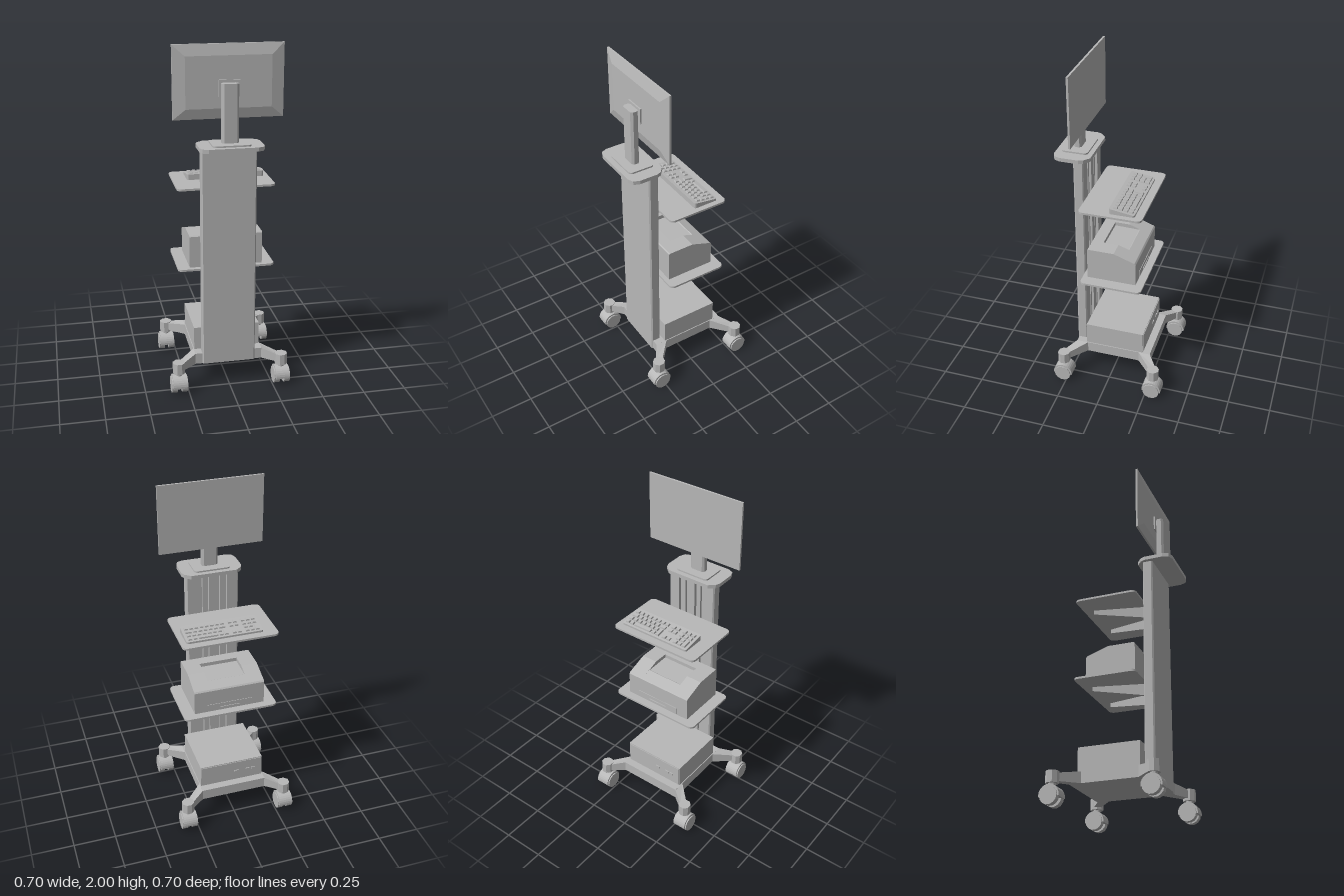
import * as THREE from 'three';

const grey = new THREE.MeshStandardMaterial({ color: 0xb8b8b8 });
grey.name = 'light grey';
grey.flatShading = true;

export function createModel() {
  const model = new THREE.Group();

  function add(name, geo, parent = model, pos = [0, 0, 0]) {
    const mesh = new THREE.Mesh(geo, grey);
    mesh.name = name;
    mesh.position.set(...pos);
    parent.add(mesh);
    return mesh;
  }
  function group(name, parent = model) {
    const g = new THREE.Group();
    g.name = name;
    parent.add(g);
    return g;
  }
  const box = (name, x0, x1, y0, y1, z0, z1, parent) =>
    add(name, new THREE.BoxGeometry(x1 - x0, y1 - y0, z1 - z0), parent,
      [(x0 + x1) / 2, (y0 + y1) / 2, (z0 + z1) / 2]);
  const shapeOf = pts => new THREE.Shape(pts.map(p => new THREE.Vector2(p[0], p[1])));

  // plan outline in x,z extruded downwards from a top height
  function slab(shape, top, height) {
    return new THREE.ExtrudeGeometry(shape, { depth: height, bevelEnabled: false, curveSegments: 4 })
      .rotateX(Math.PI / 2).translate(0, top, 0);
  }
  // side outline in z,y extruded across x
  function sideways(pts, x0, x1) {
    return new THREE.ExtrudeGeometry(shapeOf(pts), { depth: x1 - x0, bevelEnabled: false })
      .rotateY(-Math.PI / 2).translate(x1, 0, 0);
  }
  function roundRect(x0, x1, z0, z1, r) {
    const s = new THREE.Shape();
    s.absarc(x1 - r, z1 - r, r, 0, Math.PI / 2);
    s.absarc(x0 + r, z1 - r, r, Math.PI / 2, Math.PI);
    s.absarc(x0 + r, z0 + r, r, Math.PI, Math.PI * 1.5);
    s.absarc(x1 - r, z0 + r, r, Math.PI * 1.5, Math.PI * 2);
    return s;
  }
  // solid between two four-cornered sections, turned outwards whatever the corner order
  function hexa(a, b) {
    const p = [...a, ...b].map(c => new THREE.Vector3(...c));
    const quads = [[3, 2, 1, 0], [4, 5, 6, 7]];
    for (let i = 0; i < 4; i++) { const j = (i + 1) % 4; quads.push([i, j, j + 4, i + 4]); }
    const tris = quads.flatMap(q => [[q[0], q[1], q[2]], [q[0], q[2], q[3]]]);
    const centre = p.reduce((s, v) => s.add(v), new THREE.Vector3()).divideScalar(8);
    const rel = p.map(v => v.clone().sub(centre));
    const volume = tris.reduce((s, t) => s + rel[t[0]].dot(rel[t[1]].clone().cross(rel[t[2]])), 0);
    const geo = new THREE.BufferGeometry().setFromPoints(
      tris.flatMap(t => (volume < 0 ? [t[0], t[2], t[1]] : t).map(i => p[i])));
    geo.computeVertexNormals();
    return geo;
  }
  const rectZ = (w, y0, y1, z) => [[-w, y0, z], [w, y0, z], [w, y1, z], [-w, y1, z]];
  const rectY = (w, d, y) => [[-w, y, -d], [w, y, -d], [w, y, d], [-w, y, d]];

  // base tray, with four sloping legs on twin-wheel casters
  const base = group('base');
  box('baseBody', -0.2, 0.2, 0.14, 0.205, -0.243, 0.222, base);
  for (const sx of [-1, 1]) for (const sz of [-1, 1]) {
    const edge = sz < 0 ? 0.243 : 0.222, hubZ = sz < 0 ? -0.291 : 0.272, hubX = sx * 0.305;
    const ring = (x1, z1, x2, z2, y0, y1) =>
      [[sx * x1, y0, sz * z1], [sx * x2, y0, sz * z2], [sx * x2, y1, sz * z2], [sx * x1, y1, sz * z1]];
    add('leg', hexa(ring(0.198, edge, 0.2, edge - 0.07, 0.14, 0.205),
      ring(0.282, edge + 0.06, 0.302, edge + 0.025, 0.135, 0.18)), base);
    const caster = group('caster', base);
    caster.position.set(hubX, 0, hubZ);
    add('casterHub', new THREE.CylinderGeometry(0.037, 0.037, 0.066, 8).rotateY(Math.PI / 8), caster, [0, 0.155, 0]);
    add('casterStem', new THREE.CylinderGeometry(0.022, 0.022, 0.04, 8), caster, [0, 0.112, 0]);
    const hood = new THREE.Shape();
    hood.absarc(0, 0.053, 0.058, -0.15, Math.PI + 0.15);
    const hoodGeo = new THREE.ExtrudeGeometry(hood, { depth: 0.08, bevelEnabled: false, curveSegments: 8 });
    add('casterHood', hoodGeo.rotateY(-Math.PI / 2).translate(0.04, 0, 0), caster);
    for (const s of [-1, 1])
      add('casterWheel', new THREE.CylinderGeometry(0.05, 0.05, 0.034, 14).rotateZ(Math.PI / 2),
        caster, [s * 0.03, 0.05, 0]);
  }

  // column with vertical grooves on the shelf side
  const half = [[0, 0.17], [0.022, 0.17], [0.022, 0.19], [0.045, 0.19], [0.045, 0.175], [0.06, 0.175],
    [0.06, 0.19], [0.088, 0.19], [0.088, 0.17], [0.15, 0.17], [0.157, 0.177], [0.157, 0.222], [0.15, 0.23]];
  const outline = [...half, ...half.slice(1).reverse().map(([x, z]) => [-x, z])];
  add('column', slab(shapeOf(outline), 1.445, 1.305));

  // top plate, foot and post
  const cap = [[0.135, 0.135], [0.17, 0.165], [0.18, 0.19], [0.18, 0.298], [0.167, 0.333], [0.135, 0.347]];
  const mirrored = pts => [...pts, ...[...pts].reverse().map(([x, z]) => [-x, z])];
  add('topPlate', slab(shapeOf(mirrored(cap)), 1.464, 0.022));
  add('postFoot', slab(roundRect(-0.107, 0.107, 0.163, 0.317, 0.022), 1.473, 0.01));
  add('post', slab(shapeOf(mirrored([[0.035, 0.218], [0.047, 0.228], [0.047, 0.252], [0.035, 0.264]])), 1.795, 0.325));

  // monitor, screen towards the shelves
  const monitor = group('monitor');
  box('screenPanel', -0.306, 0.306, 1.597, 2, 0.185, 0.197, monitor);
  add('monitorBack', hexa(rectZ(0.306, 1.597, 2, 0.197), rectZ(0.237, 1.655, 1.938, 0.211)), monitor);
  box('monitorMount', -0.06, 0.06, 1.72, 1.81, 0.208, 0.219, monitor);

  // two shelves on splayed tapering brackets
  for (const top of [1.2, 0.718]) {
    const shelf = group('shelf');
    add('shelfBoard', slab(roundRect(-0.282, 0.282, -0.198, 0.168, 0.028), top, 0.012), shelf);
    for (const s of [-1, 1]) {
      const section = (x, y, z) => [[s * x - 0.009, y, z], [s * x + 0.009, y, z],
        [s * x + 0.009, top - 0.01, z], [s * x - 0.009, top - 0.01, z]];
      add('shelfBracket', hexa(section(0.07, top - 0.083, 0.172), section(0.135, top - 0.037, -0.138)), shelf);
    }
  }

  // keyboard: sloping body and rows of keys given as [x start, x end, z start, z end]
  const keyboard = group('keyboard');
  const slope = 0.149;
  const topAt = z => 1.233 + (z + 0.005) * slope;
  const body = slab(roundRect(-0.199, 0.251, -0.152, -0.005, 0.012), 1.233, 0.033);
  const bp = body.attributes.position;
  for (let i = 0; i < bp.count; i++) if (bp.getY(i) > 1.21) bp.setY(i, topAt(bp.getZ(i)));
  body.computeVertexNormals();
  add('keyboardBody', body, keyboard);
  const pitch = 0.0302, size = 0.0245;
  function key(x0, x1, row, rows = 1) {
    const z0 = -0.14 + row * pitch, z1 = z0 + size + (rows - 1) * pitch, z = (z0 + z1) / 2;
    const w = (x1 - x0) / 2, d = (z1 - z0) / 2;
    const k = add('key', hexa(rectY(w, d, -0.002), rectY(w - 0.003, d - 0.003, 0.009)),
      keyboard, [(x0 + x1) / 2, topAt(z), z]);
    k.rotation.x = -Math.atan(slope);
  }
  const run = (x, row, count) => {
    for (let i = 0; i < count; i++) key(x + i * pitch, x + i * pitch + size, row);
  };
  const pad = -0.183, nav = -0.076, main = 0.001;
  key(pad, pad + size, 0, 2);
  for (const row of [0, 1]) run(pad + pitch, row, 2);
  for (const row of [2, 3]) run(pad, row, 3);
  for (const row of [0, 2, 3]) run(nav, row, 2);
  key(main, main + size, 0, 2);
  run(main + pitch, 0, 1);
  key(0.061, 0.177, 0);
  run(0.183, 0, 2);
  run(main + pitch, 1, 7);
  key(main, 0.041, 2);
  run(0.047, 2, 5);
  key(0.199, 0.239, 2);
  run(main, 3, 8);

  // printer: solid cheeks and a middle with a sunken paper tray
  const printer = group('printer');
  const full = [[0.14, 0.718], [0.14, 0.904], [0.134, 0.91], [-0.02, 0.91], [-0.145, 0.866], [-0.152, 0.858], [-0.152, 0.718]];
  const tray = [[0.14, 0.718], [0.14, 0.904], [0.134, 0.91], [0.07, 0.91], [0.07, 0.888], [-0.08, 0.884],
    [-0.085, 0.887], [-0.145, 0.866], [-0.152, 0.858], [-0.152, 0.718]];
  add('printerCheek', sideways(full, 0.115, 0.213), printer);
  add('printerCheek', sideways(full, -0.213, -0.115), printer);
  add('printerMiddle', sideways(tray, -0.115, 0.115), printer);
  box('printerPaperDrawer', -0.14, 0.14, 0.724, 0.765, -0.155, -0.15, printer);
  box('printerHandle', -0.06, 0.06, 0.73, 0.742, -0.159, -0.152, printer);

  // computer case with front panel and buttons
  const computer = group('computer');
  box('computerCase', -0.195, 0.195, 0.203, 0.342, -0.196, 0.16, computer);
  box('computerPanel', -0.19, 0.19, 0.209, 0.337, -0.2, -0.195, computer);
  for (const [x0, x1] of [[-0.149, -0.125], [-0.115, -0.088], [-0.044, -0.016]])
    box('computerButton', x0, x1, 0.265, 0.278, -0.205, -0.199, computer);

  return model;
}
